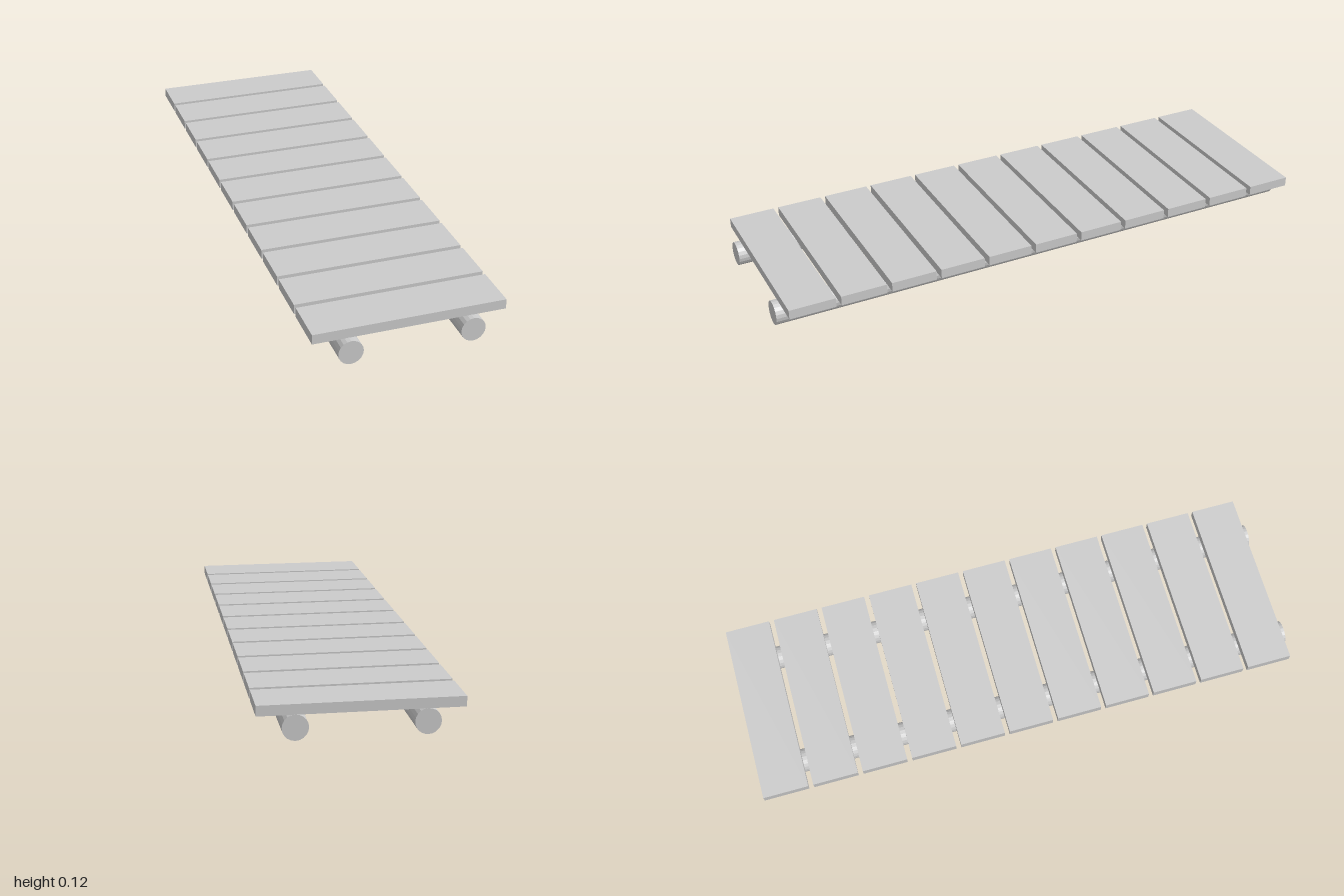
import * as THREE from 'three';

const PLANKS = 11;
const PITCH = 0.1814;
const PLANK_SIZE = [0.652, 0.034, 0.163];
const LOG_RADIUS = 0.042;
const LOG_X = 0.206;

export function createModel() {
  const model = new THREE.Group();
  model.name = 'plankWalkway';
  const material = new THREE.MeshStandardMaterial({ color: 0xcccccc, flatShading: true });

  // Two round logs running the full length
  const logGeometry = new THREE.CylinderGeometry(LOG_RADIUS, LOG_RADIUS, 2, 20);
  logGeometry.rotateX(Math.PI / 2);
  for (const side of [1, -1]) {
    const log = new THREE.Mesh(logGeometry, material);
    log.name = side > 0 ? 'leftLog' : 'rightLog';
    log.position.set(side * LOG_X, LOG_RADIUS, 0);
    model.add(log);
  }

  // Cross planks, flush with the back end and spaced by narrow gaps
  const plankGeometry = new THREE.BoxGeometry(...PLANK_SIZE);
  for (let i = 0; i < PLANKS; i++) {
    const plank = new THREE.Mesh(plankGeometry, material);
    plank.name = `plank${i + 1}`;
    plank.position.set(0, 0.1, -0.999 + PLANK_SIZE[2] / 2 + i * PITCH);
    model.add(plank);
  }
  return model;
}
